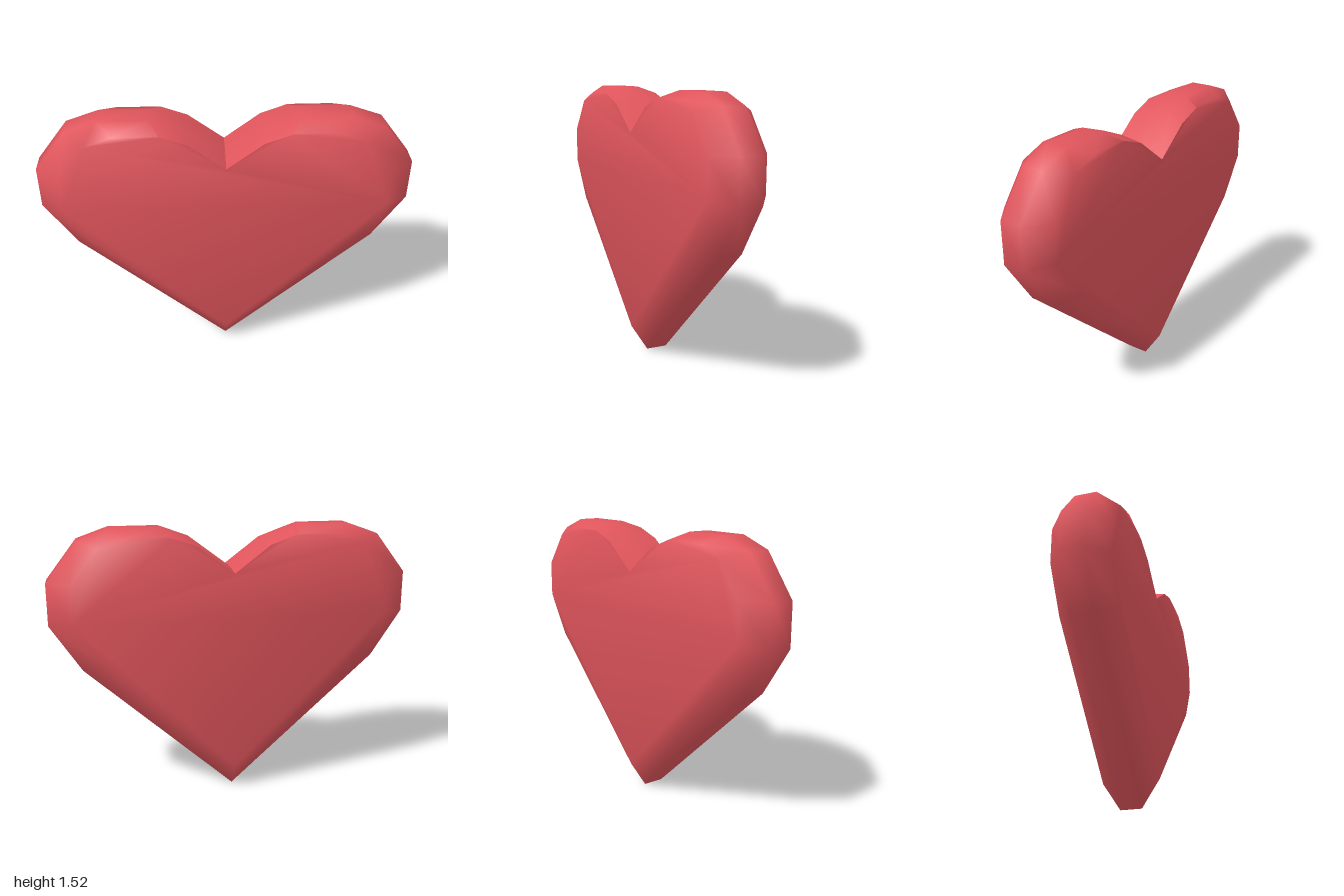
import * as THREE from 'three';
import { toCreasedNormals } from 'three/addons/utils/BufferGeometryUtils.js';

// Right half of the outline, from the bottom tip round to the notch
const HALF = [
  [0, 0], [0.83, 0.75], [1, 1.01], [1, 1.24], [0.83, 1.46],
  [0.66, 1.52], [0.39, 1.52], [0.225, 1.46], [0, 1.29],
];
const INSET = 0.872;   // size of the flat faces relative to the rim
const PIVOT_Y = 1.21;  // height the faces shrink towards
const RIM_Z = 0.06;
const FACE_Z = 0.16;

function heartGeometry() {
  const mirrored = HALF.slice(1, -1).reverse().map(([x, y]) => [-x, y]);
  const outline = [...HALF, ...mirrored];
  const n = outline.length;

  // Four cross-sections from back face to front face
  const sections = [[-FACE_Z, INSET], [-RIM_Z, 1], [RIM_Z, 1], [FACE_Z, INSET]];
  const positions = [];
  for (const [z, s] of sections) {
    for (const [x, y] of outline) positions.push(x * s, PIVOT_Y + (y - PIVOT_Y) * s, z);
  }

  // Bevels and rim
  const index = [];
  for (let r = 0; r < sections.length - 1; r++) {
    for (let i = 0; i < n; i++) {
      const a = r * n + i, b = r * n + (i + 1) % n;
      index.push(a, b, b + n, a, b + n, a + n);
    }
  }

  // Flat front and back faces
  const front = (sections.length - 1) * n;
  const points = outline.map(([x, y]) => new THREE.Vector2(x, y));
  for (const [a, b, c] of THREE.ShapeUtils.triangulateShape(points, [])) {
    index.push(front + a, front + b, front + c, c, b, a);
  }

  const geometry = new THREE.BufferGeometry();
  geometry.setAttribute('position', new THREE.Float32BufferAttribute(positions, 3));
  geometry.setIndex(index);
  // Soft bevels; the notch and the tip of the rim stay sharp
  return toCreasedNormals(geometry, THREE.MathUtils.degToRad(70));
}

export function createModel() {
  const group = new THREE.Group();
  group.name = 'heart';
  const body = new THREE.Mesh(heartGeometry(), new THREE.MeshStandardMaterial({ color: 0xe0555c }));
  body.name = 'heartBody';
  group.add(body);
  return group;
}
